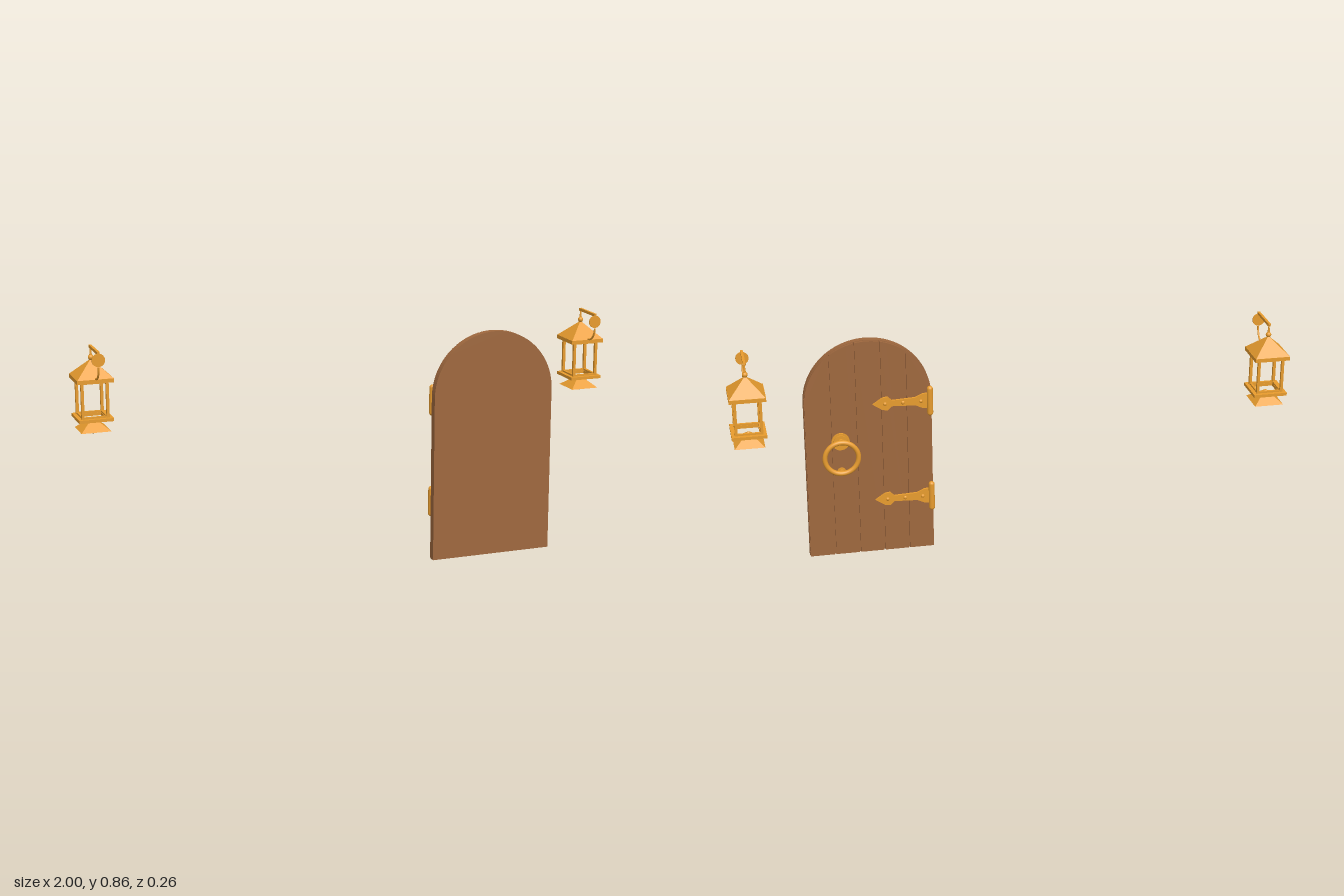
import * as THREE from 'three';

const wood = new THREE.MeshStandardMaterial({ color: 0x9f683e });
const darkWood = new THREE.MeshStandardMaterial({ color: 0x8a5632 });
const brass = new THREE.MeshStandardMaterial({ color: 0xe89c2e });
const brassFlat = new THREE.MeshStandardMaterial({ color: 0xe89c2e, flatShading: true });

function add(parent, name, geometry, material, x = 0, y = 0, z = 0) {
  const mesh = new THREE.Mesh(geometry, material);
  mesh.name = name;
  mesh.position.set(x, y, z);
  parent.add(mesh);
  return mesh;
}

// Upright slice of an arched panel between x0 and x1, measured from the arch centre
function archSlice(x0, x1, radius, spring, bottom, depth) {
  const shape = new THREE.Shape();
  shape.moveTo(x0, bottom);
  shape.lineTo(x1, bottom);
  const a1 = Math.acos(x1 / radius), a0 = Math.acos(x0 / radius);
  const steps = Math.max(8, Math.round((a0 - a1) * 16));
  for (let i = 0; i <= steps; i++) {
    const a = a1 + (a0 - a1) * i / steps;
    shape.lineTo(radius * Math.cos(a), spring + radius * Math.sin(a));
  }
  return new THREE.ExtrudeGeometry(shape, { depth, bevelEnabled: false });
}

// Disc facing along z
function disc(radius, depth, rear = radius) {
  return new THREE.CylinderGeometry(radius, rear, depth, 24).rotateX(Math.PI / 2);
}

// Square frame lying flat
function squareFrame(half, inner, height) {
  const shape = new THREE.Shape([[-half, -half], [half, -half], [half, half], [-half, half]].map(p => new THREE.Vector2(...p)));
  shape.holes.push(new THREE.Path([[-inner, -inner], [-inner, inner], [inner, inner], [inner, -inner]].map(p => new THREE.Vector2(...p))));
  return new THREE.ExtrudeGeometry(shape, { depth: height, bevelEnabled: false }).rotateX(-Math.PI / 2);
}

// Four-sided pyramid standing on y = 0
function pyramid(half, height, topHalf) {
  return new THREE.CylinderGeometry(topHalf * Math.SQRT2, half * Math.SQRT2, height, 4)
    .rotateY(Math.PI / 4).translate(0, height / 2, 0);
}

function createHinge() {
  const hinge = new THREE.Group();
  hinge.name = 'hinge';
  add(hinge, 'hingeBarrel', new THREE.CapsuleGeometry(0.011, 0.093, 6, 16), brass, -0.223, 0, 0.088);

  // Strap tapering from the barrel to a spear-shaped tip
  const upper = [[-0.22, 0.03], [-0.195, 0.027], [-0.17, 0.015], [-0.085, 0.011], [-0.07, 0.026], [-0.05, 0.023]];
  const strap = new THREE.Shape();
  strap.moveTo(-0.016, 0);
  for (const [x, y] of [...upper].reverse()) strap.lineTo(x, y);
  for (const [x, y] of upper) strap.lineTo(x, -y);
  add(hinge, 'hingeStrap', new THREE.ExtrudeGeometry(strap, { depth: 0.008, bevelEnabled: false }), brass, 0, 0, 0.09);

  for (const x of [-0.19, -0.125, -0.06]) {
    const rivet = add(hinge, 'rivet', new THREE.SphereGeometry(0.007, 14, 10), brass, x, 0, 0.09);
    rivet.scale.z = 0.7;
  }
  return hinge;
}

function createDoor() {
  const door = new THREE.Group();
  door.name = 'door';
  const radius = 0.231, spring = 0.607, planks = 5, gap = 0.006;
  add(door, 'doorPanel', archSlice(-radius, radius, radius, spring, 0, 0.024), darkWood, 0, 0, 0.107).material = wood;

  // Raised planks with grooves between them
  const r = radius - 0.002, width = 2 * r / planks;
  for (let i = 0; i < planks; i++) {
    const x0 = -r + i * width + (i ? gap / 2 : 0);
    const x1 = -r + (i + 1) * width - (i < planks - 1 ? gap / 2 : 0);
    add(door, 'plank', archSlice(x0, x1, r, spring, 0.001, 0.01), wood, 0, 0, 0.098);
  }

  for (const y of [0.593, 0.213]) {
    const hinge = createHinge();
    hinge.position.y = y;
    door.add(hinge);
  }

  // Ring knocker with its mount and strike plate
  const knocker = new THREE.Group();
  knocker.name = 'knocker';
  knocker.position.x = 0.104;
  add(knocker, 'knockerRing', new THREE.TorusGeometry(0.061, 0.009, 14, 48), brass, 0, 0.4, 0.076);
  add(knocker, 'mountPlate', disc(0.033, 0.006), brass, 0, 0.457, 0.095);
  add(knocker, 'mountStep', disc(0.026, 0.006), brass, 0, 0.457, 0.09);
  add(knocker, 'mountBoss', disc(0.014, 0.016), brass, 0, 0.457, 0.082);
  add(knocker, 'strikePlate', disc(0.016, 0.005), brass, 0, 0.337, 0.096);
  add(knocker, 'strikeStud', disc(0.01, 0.012), brass, 0, 0.337, 0.09);
  door.add(knocker);

  door.position.x = 0.496;
  return door;
}

function createLantern() {
  const lantern = new THREE.Group();
  lantern.name = 'lantern';

  // Roof, eaves and floor
  add(lantern, 'roof', pyramid(0.063, 0.058, 0.003), brassFlat, 0, 0.747, 0);
  add(lantern, 'eaves', squareFrame(0.064, 0.046, 0.014), brassFlat, 0, 0.733, 0);
  add(lantern, 'floorFrame', squareFrame(0.061, 0.038, 0.011), brassFlat, 0, 0.595, 0);
  for (const y of [0.606, 0.728]) {
    add(lantern, 'glazingFrame', squareFrame(0.047, 0.039, 0.006), brassFlat, 0, y, 0);
  }

  // Corner posts
  for (const sx of [-1, 1]) for (const sz of [-1, 1]) {
    add(lantern, 'post', new THREE.BoxGeometry(0.01, 0.132, 0.01), brassFlat, sx * 0.044, 0.67, sz * 0.044);
  }

  // Lower cap and finials
  add(lantern, 'lowerCap', pyramid(0.053, 0.041, 0.003), brassFlat, 0, 0.557, 0);
  add(lantern, 'lowerFinial', new THREE.SphereGeometry(0.009, 16, 12), brass, 0, 0.551, 0);
  add(lantern, 'upperFinial', new THREE.SphereGeometry(0.01, 16, 12), brass, 0, 0.813, 0);
  add(lantern, 'hangerStem', new THREE.CylinderGeometry(0.002, 0.005, 0.03, 12), brass, 0, 0.833, 0);
  add(lantern, 'hangerKnob', new THREE.SphereGeometry(0.006, 14, 10), brass, 0, 0.851, 0);

  // Wall bracket: arm, round plate and curved scroll
  add(lantern, 'bracketArm', new THREE.BoxGeometry(0.009, 0.01, 0.124), brassFlat, 0, 0.851, 0.057);
  add(lantern, 'wallPlate', disc(0.023, 0.005), brass, 0, 0.826, 0.117);
  const points = [];
  for (let i = 0; i <= 8; i++) {
    const a = i / 8 * Math.PI / 2;
    points.push(new THREE.Vector3(0, 0.802 - 0.051 * Math.sin(a), 0.069 + 0.049 * Math.cos(a)));
  }
  add(lantern, 'bracketScroll', new THREE.TubeGeometry(new THREE.CatmullRomCurve3(points), 24, 0.0035, 8), brass);

  lantern.position.z = -0.065;
  return lantern;
}

export function createModel() {
  const model = new THREE.Group();
  model.name = 'doorAndLanterns';
  model.add(createDoor());
  for (const side of [-1, 1]) {
    const lantern = createLantern();
    lantern.position.x = side * 0.936;
    model.add(lantern);
  }
  return model;
}
